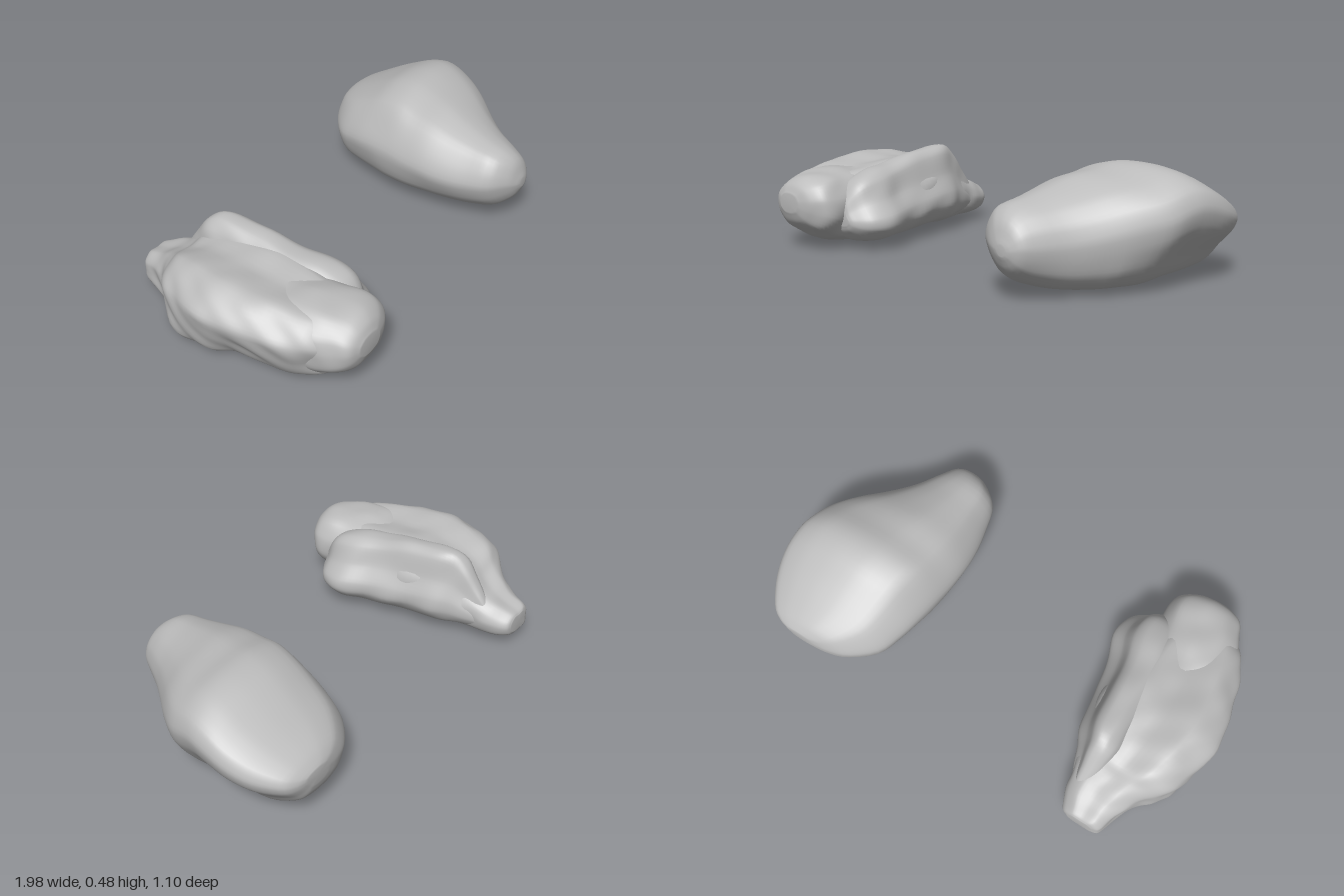
import * as THREE from 'three';

const v2 = (p) => new THREE.Vector3(p[0], p[1], 0);

// Smooth closed ring from a few normalised points, clockwise seen from the front
function ring(points, n) {
  const curve = new THREE.CatmullRomCurve3(points.map(v2), true, 'catmullrom', 0.4);
  return Array.from({ length: n }, (_, j) => curve.getPoint(j / n));
}

// Gentle, repeatable lumps
function lumps(x, y, z, f) {
  return (Math.sin(f * x + 1.3 * Math.sin(f * 0.8 * z)) * Math.cos(f * 0.9 * y + 1)
    + 0.6 * Math.sin(f * 1.7 * z + 2.1 * y * f + 0.5) * Math.cos(f * 1.4 * x + 2)) / 1.6;
}

// Skin rings along z; sections are [z, xMin, xMax, yMin, yMax], outlines blend from back to front
function rock(sections, outlines, { along = 48, around = 56, bump = 0, freq = 10 }) {
  const spline = (a, b) => new THREE.CatmullRomCurve3(
    sections.map((s) => new THREE.Vector3(s[0], s[a], s[b])), false, 'catmullrom', 0.5);
  const xs = spline(1, 2), ys = spline(3, 4);
  const rings = outlines.map((o) => ring(o, around));
  const pos = [], index = [];
  for (let i = 0; i <= along; i++) {
    const t = i / along, X = xs.getPoint(t), Y = ys.getPoint(t);
    const cx = (X.y + X.z) / 2, hx = (X.z - X.y) / 2;
    const cy = (Y.y + Y.z) / 2, hy = (Y.z - Y.y) / 2;
    const s = t * (rings.length - 1), k = Math.min(Math.floor(s), rings.length - 2);
    for (let j = 0; j < around; j++) {
      const p = rings[k][j].clone().lerp(rings[k + 1][j], s - k);
      const x = cx + hx * p.x, y = cy + hy * p.y;
      const d = 1 + bump * lumps(x, y, X.x, freq) / Math.max(hx, hy, 0.1);
      pos.push(cx + (x - cx) * d, Math.max(0, cy + (y - cy) * d), X.x);
    }
  }
  const at = (i, j) => i * around + (j % around);
  for (let i = 0; i < along; i++) {
    for (let j = 0; j < around; j++) {
      const a = at(i, j), b = at(i, j + 1), c = at(i + 1, j), d = at(i + 1, j + 1);
      index.push(a, c, b, b, c, d);
    }
  }
  // Close both ends
  const first = sections[0], last = sections[sections.length - 1];
  for (const s of [first, last]) pos.push((s[1] + s[2]) / 2, (s[3] + s[4]) / 2, s[0]);
  const p0 = (along + 1) * around;
  for (let j = 0; j < around; j++) {
    index.push(p0, at(0, j), at(0, j + 1));
    index.push(p0 + 1, at(along, j + 1), at(along, j));
  }
  const g = new THREE.BufferGeometry();
  g.setAttribute('position', new THREE.Float32BufferAttribute(pos, 3));
  g.setIndex(index);
  g.computeVertexNormals();
  return g;
}

export function createModel() {
  const model = new THREE.Group();
  model.name = 'rocks';
  const stone = new THREE.MeshStandardMaterial({ color: 0xbcbcbc });
  stone.name = 'stone grey';
  const add = (parent, name, geometry) => {
    const mesh = new THREE.Mesh(geometry, stone);
    mesh.name = name;
    parent.add(mesh);
  };

  // Smooth boulder: high right shoulder with an undercut, full middle, rounded front
  const shoulder = [[-1, -0.04], [-0.9, 0.36], [-0.65, 0.8], [-0.2, 1], [0.24, 1], [0.64, 0.9], [0.93, 0.7],
    [1.02, 0.4], [0.94, 0.04], [0.68, -0.42], [0.45, -0.83], [0, -1], [-0.5, -0.95], [-0.86, -0.64]];
  const middle = [[-1, -0.04], [-0.9, 0.38], [-0.65, 0.82], [-0.2, 1], [0.22, 0.95], [0.6, 0.82], [0.88, 0.55],
    [1, 0.18], [0.97, -0.2], [0.85, -0.6], [0.55, -0.92], [0, -1], [-0.45, -0.92], [-0.82, -0.58]];
  const nose = [[-1, 0.06], [-0.9, 0.48], [-0.6, 0.87], [-0.15, 1], [0.25, 0.94], [0.6, 0.74], [0.87, 0.42],
    [1, 0], [0.94, -0.37], [0.78, -0.7], [0.45, -0.93], [0.05, -1], [-0.4, -0.84], [-0.77, -0.45]];
  add(model, 'smoothBoulder', rock([
    [-0.54, 0.68, 0.8, 0.18, 0.25], [-0.525, 0.6, 0.85, 0.13, 0.27], [-0.49, 0.52, 0.9, 0.085, 0.3],
    [-0.4, 0.42, 0.955, 0.035, 0.35], [-0.3, 0.375, 0.985, 0.02, 0.405], [-0.2, 0.35, 0.985, 0.005, 0.457],
    [-0.1, 0.33, 0.97, 0, 0.475], [0, 0.318, 0.945, 0.005, 0.452], [0.1, 0.318, 0.88, 0.012, 0.435],
    [0.2, 0.33, 0.8, 0.018, 0.405], [0.3, 0.35, 0.725, 0.035, 0.378], [0.4, 0.375, 0.66, 0.07, 0.355],
    [0.46, 0.44, 0.62, 0.12, 0.31], [0.485, 0.49, 0.585, 0.165, 0.25], [0.493, 0.52, 0.56, 0.185, 0.225],
  ], [shoulder, shoulder, shoulder, middle, nose, nose], { bump: 0.006, freq: 9 }));

  // Craggy boulder: body, leaning side slab and rounded front lobe
  const craggy = new THREE.Group();
  craggy.name = 'craggyBoulder';
  model.add(craggy);
  const top = [[-1, 0.4], [-0.82, 0.75], [-0.5, 1], [0, 0.9], [0.5, 0.95], [0.88, 0.5], [1, 0]];
  const squareFoot = [...top, [0.85, -0.65], [0.45, -0.98], [-0.35, -1], [-0.93, -0.95], [-1, -0.3]];
  const undercutFoot = [...top, [0.85, -0.6], [0.4, -0.95], [-0.15, -1], [-0.6, -0.82], [-0.82, -0.25]];
  add(craggy, 'craggyBody', rock([
    [-0.55, -0.72, -0.61, 0.065, 0.14], [-0.53, -0.76, -0.58, 0.045, 0.16], [-0.44, -0.79, -0.54, 0.035, 0.2],
    [-0.35, -0.84, -0.52, 0.025, 0.26], [-0.29, -0.9, -0.505, 0.02, 0.31], [-0.18, -0.955, -0.475, 0.015, 0.345],
    [-0.03, -0.995, -0.46, 0.015, 0.36], [0.1, -0.98, -0.46, 0.015, 0.35], [0.22, -0.95, -0.48, 0.01, 0.335],
    [0.33, -0.915, -0.51, 0.015, 0.32], [0.42, -0.85, -0.54, 0.05, 0.29], [0.47, -0.79, -0.6, 0.1, 0.24],
  ], [squareFoot, squareFoot, squareFoot, undercutFoot, undercutFoot, undercutFoot],
  { along: 60, bump: 0.011, freq: 21 }));

  const slab = [[-1, 0.2], [-0.8, 0.72], [-0.4, 0.97], [0.1, 1], [0.42, 0.82], [0.66, 0.3], [1, -0.15],
    [1, -0.5], [0.6, -0.85], [-0.2, -1], [-0.9, -0.7]];
  add(craggy, 'sideSlab', rock([
    [-0.44, -0.62, -0.55, 0.07, 0.17], [-0.36, -0.64, -0.525, 0.05, 0.28], [-0.29, -0.66, -0.5, 0.04, 0.37],
    [-0.2, -0.67, -0.46, 0.035, 0.393], [-0.05, -0.67, -0.44, 0.03, 0.375], [0.1, -0.67, -0.41, 0.025, 0.35],
    [0.22, -0.66, -0.37, 0.025, 0.33], [0.32, -0.64, -0.39, 0.035, 0.295], [0.375, -0.6, -0.45, 0.075, 0.23],
    [0.39, -0.56, -0.48, 0.11, 0.18],
  ], [slab, slab], { along: 44, bump: 0.008, freq: 19 }));

  const lobe = [[-1, 0.05], [-0.9, 0.55], [-0.5, 0.94], [0.1, 1], [0.65, 0.8], [0.95, 0.3],
    [0.95, -0.3], [0.7, -0.8], [0.1, -1], [-0.5, -0.93], [-0.9, -0.5]];
  add(craggy, 'frontLobe', rock([
    [0.1, -0.82, -0.6, 0.08, 0.31], [0.25, -0.87, -0.53, 0.025, 0.338], [0.38, -0.865, -0.5, 0.03, 0.336],
    [0.47, -0.83, -0.505, 0.075, 0.32], [0.52, -0.8, -0.56, 0.115, 0.29], [0.545, -0.75, -0.63, 0.17, 0.25],
  ], [lobe, lobe], { along: 32, bump: 0.01, freq: 19 }));

  return model;
}
